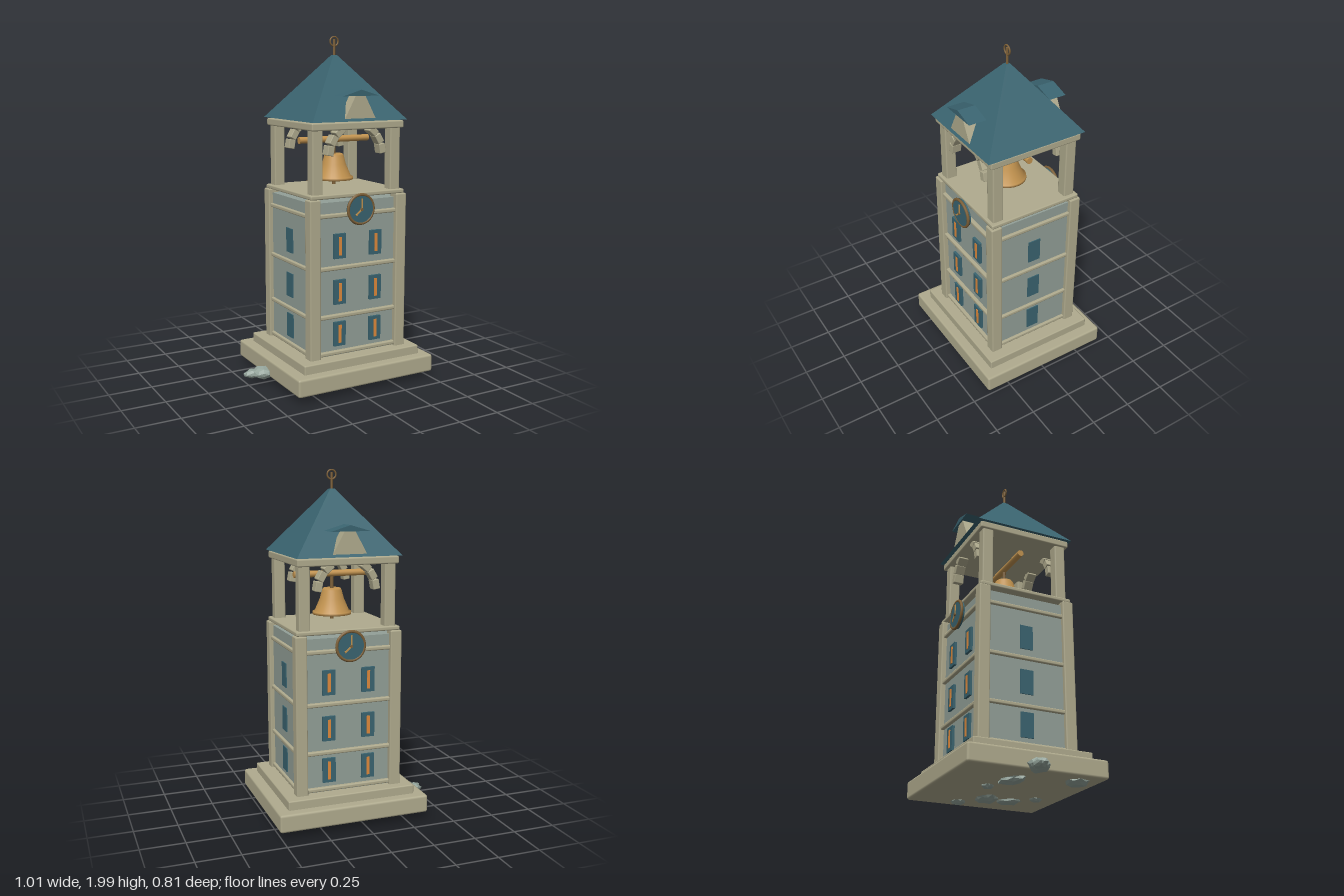
import * as THREE from 'three';
import { RoundedBoxGeometry } from 'three/addons/geometries/RoundedBoxGeometry.js';

const mat = (color, extra = {}) => new THREE.MeshStandardMaterial({ color, ...extra });
const trim = mat(0xb0ab8e), wall = mat(0x93a098), teal = mat(0x3a6470), bronze = mat(0xc2934f);
const darkBronze = mat(0x7d6038), glow = mat(0xe08a3c), rock = mat(0x94a49b, { flatShading: true });
const tealFlat = mat(0x3a6470, { flatShading: true });

function add(parent, name, geometry, material, x = 0, y = 0, z = 0) {
  const mesh = new THREE.Mesh(geometry, material);
  mesh.name = name;
  mesh.position.set(x, y, z);
  parent.add(mesh);
  return mesh;
}
const box = (w, h, d) => new THREE.BoxGeometry(w, h, d);
const block = (w, h, d, r = 0.008) => new RoundedBoxGeometry(w, h, d, 1, r);
const rod = (r, h, n = 16) => new THREE.CylinderGeometry(r, r, h, n);

function extrude(points, depth) {
  const shape = new THREE.Shape(points.map(([x, y]) => new THREE.Vector2(x, y)));
  return new THREE.ExtrudeGeometry(shape, { depth, bevelEnabled: false });
}

const floors = [0.325, 0.57, 0.835];
const bands = [0.215, 0.43, 0.71, 1.01];

// Everything on the front face; a half turn gives the back face
function facade() {
  const g = new THREE.Group();
  for (const y of floors) for (const s of [-1, 1]) {
    add(g, 'windowFrame', box(0.076, 0.142, 0.02), teal, s * 0.1175, y, 0.27);
    add(g, 'windowGlow', box(0.018, 0.105, 0.01), glow, s * 0.1175, y, 0.279);
  }
  for (const y of bands) add(g, 'band', block(0.51, 0.024, 0.04), trim, 0, y, 0.265);

  // Clock
  const clock = new THREE.Group();
  clock.name = 'clock';
  clock.position.set(0, 1.04, 0.3);
  g.add(clock);
  add(clock, 'clockFace', rod(0.082, 0.025, 32), teal).rotation.x = Math.PI / 2;
  add(clock, 'clockRim', new THREE.TorusGeometry(0.082, 0.009, 8, 32), darkBronze, 0, 0, 0.006);
  add(clock, 'minuteHand', box(0.008, 0.064, 0.005), bronze, 0.002, 0.03, 0.016);
  add(clock, 'hourHand', box(0.009, 0.05, 0.005), bronze, -0.018, -0.016, 0.016).rotation.z = -0.85;
  add(clock, 'clockHub', rod(0.008, 0.012), darkBronze, 0, 0, 0.016).rotation.x = Math.PI / 2;

  // Belfry arch of separate stones
  const stones = 9;
  for (let i = 0; i < stones; i++) {
    const a = (i + 0.5) / stones * Math.PI;
    const stone = add(g, 'archStone', block(0.04, 0.055, 0.06, 0.004), trim,
      Math.cos(a) * 0.17, 1.34 + Math.sin(a) * 0.17, 0.235);
    stone.rotation.z = a;
    if (stone.position.y > 1.49) g.remove(stone);
  }

  // Dormer
  add(g, 'dormerWall', extrude([[-0.098, 1.545], [0.098, 1.545], [0.025, 1.68], [-0.025, 1.68]], 0.07), trim, 0, 0, 0.225);
  add(g, 'dormerRoof', extrude([[-0.115, 1.668], [0.115, 1.668], [0, 1.702]], 0.105), teal, 0, 0, 0.2);
  return g;
}

// Flattened jagged stone, bent by a seeded rule
function addRock(parent, x, y, z, sx, sy, sz, seed) {
  const geo = new THREE.IcosahedronGeometry(1, 1);
  const p = geo.attributes.position;
  for (let i = 0; i < p.count; i++) {
    const px = p.getX(i), py = p.getY(i), pz = p.getZ(i);
    const k = 0.86 + 0.14 * Math.sin(px * 4.1 + seed * 2.3) * Math.cos(py * 3.7 + pz * 5.3 + seed);
    p.setXYZ(i, px * k * sx, py * k * sy, pz * k * sz);
  }
  geo.computeVertexNormals();
  add(parent, 'rock', geo, rock, x, y, z).rotation.y = seed;
}

export function createModel() {
  const model = new THREE.Group();
  const tower = new THREE.Group();
  tower.name = 'tower';
  tower.position.x = 0.064;
  model.add(tower);

  // Plinth
  add(tower, 'baseSlab', block(0.89, 0.105, 0.81, 0.014), trim, 0, 0.0925, 0);
  add(tower, 'baseStep', block(0.76, 0.06, 0.695), trim, 0, 0.167, 0);

  // Shaft
  add(tower, 'shaft', box(0.58, 0.895, 0.53), wall, 0, 0.6375, 0);
  for (const sx of [-1, 1]) {
    for (const sz of [-1, 1]) {
      add(tower, 'cornerPost', block(0.068, 0.92, 0.068), trim, sx * 0.281, 0.647, sz * 0.261);
      add(tower, 'belfryPost', block(0.066, 0.38, 0.066), trim, sx * 0.252, 1.305, sz * 0.234);
    }
    for (const y of bands) add(tower, 'sideBand', block(0.04, 0.024, 0.47), trim, sx * 0.285, y, 0);
    for (const y of floors) add(tower, 'sideWindow', box(0.012, 0.142, 0.078), teal, sx * 0.29, y, 0);
  }
  for (const turn of [0, Math.PI]) {
    const side = facade();
    side.name = turn ? 'backFace' : 'frontFace';
    side.rotation.y = turn;
    tower.add(side);
  }

  // Belfry floor and roof beam
  add(tower, 'belfryFloor', block(0.612, 0.025, 0.57), trim, 0, 1.119, 0);
  add(tower, 'roofPlate', block(0.594, 0.042, 0.57), trim, 0, 1.504, 0);

  // Roof
  const d = Math.SQRT2;
  const roof = new THREE.CylinderGeometry(0.013 * d, 0.305 * d, 0.36, 4, 1);
  roof.rotateY(Math.PI / 4);
  add(tower, 'roof', roof, tealFlat, 0, 1.71, 0);

  // Finial
  add(tower, 'finialPole', rod(0.007, 0.1), darkBronze, 0, 1.93, 0);
  add(tower, 'finialRing', new THREE.TorusGeometry(0.026, 0.005, 8, 24), darkBronze, 0, 1.968, 0);

  // Bell on its beam
  add(tower, 'bellBeam', rod(0.019, 0.46), bronze, 0, 1.41, 0).rotation.z = Math.PI / 2;
  add(tower, 'bellHanger', rod(0.01, 0.1), darkBronze, 0, 1.36, 0);
  const profile = [[0, 1.325], [0.05, 1.325], [0.057, 1.315], [0.07, 1.265], [0.1, 1.195],
    [0.113, 1.19], [0.113, 1.175], [0.098, 1.175], [0.06, 1.25], [0, 1.3]];
  const bell = new THREE.LatheGeometry(profile.map(([r, y]) => new THREE.Vector2(r, y)).reverse(), 28);
  add(tower, 'bell', bell, bronze);
  add(tower, 'clapper', rod(0.01, 0.15), darkBronze, 0, 1.22, 0);

  // Rocks under and beside the base
  const rocks = new THREE.Group();
  rocks.name = 'rocks';
  model.add(rocks);
  [
    [0.26, 0.04, -0.015, 0.09, 0.034, 0.07], [0.27, 0.042, 0.13, 0.085, 0.03, 0.06],
    [0.17, 0.042, 0.25, 0.045, 0.025, 0.04], [0, 0.042, -0.125, 0.04, 0.025, 0.04],
    [-0.18, 0.04, -0.065, 0.1, 0.036, 0.06], [-0.27, 0.04, 0.27, 0.075, 0.035, 0.07],
    [-0.4, 0.06, -0.02, 0.075, 0.042, 0.07], [-0.45, 0.055, -0.045, 0.065, 0.03, 0.04],
    [0.4, 0.042, -0.13, 0.05, 0.028, 0.045],
  ].forEach((r, i) => addRock(rocks, ...r, i * 0.9));
  return model;
}
